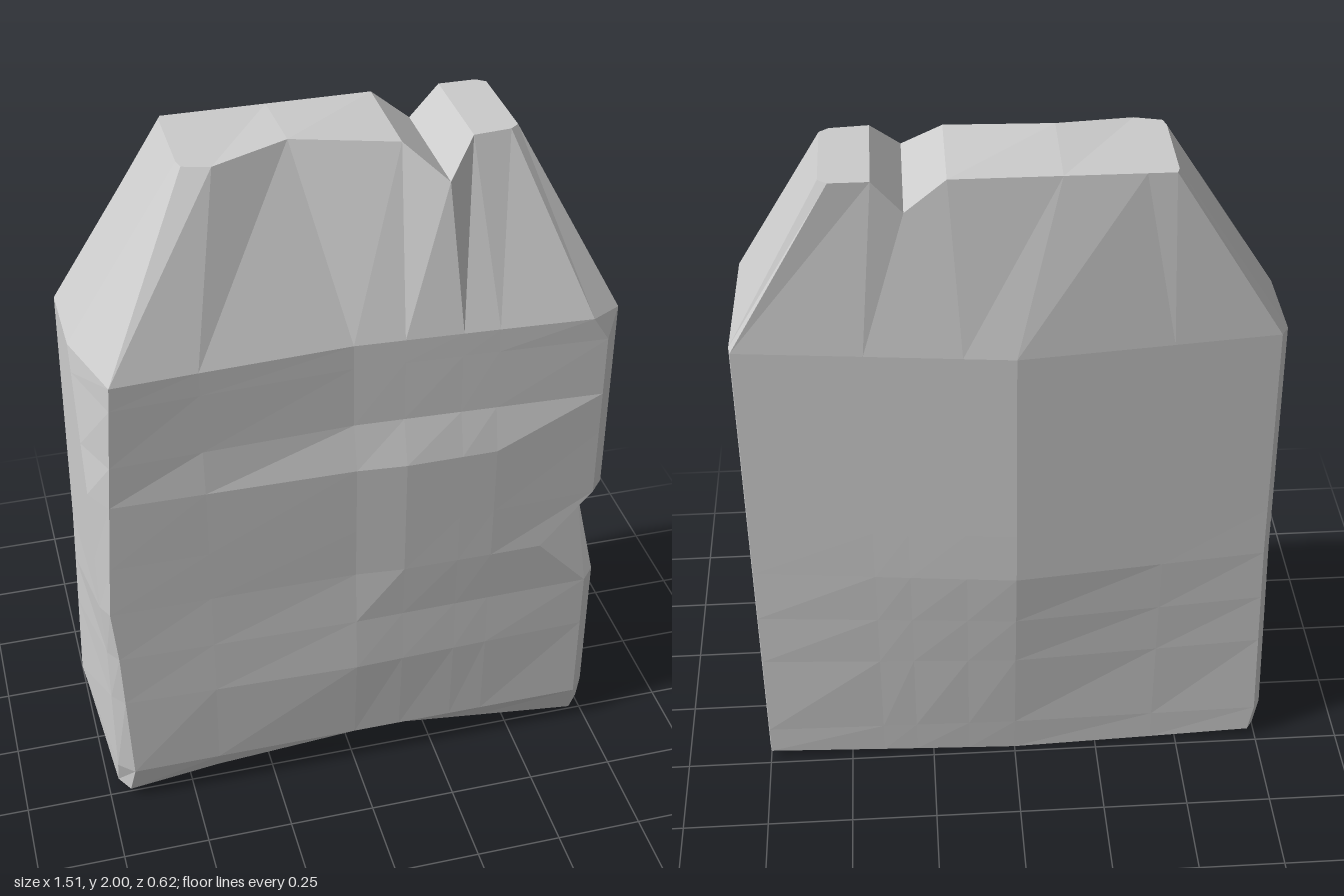
import * as THREE from 'three';

// Heights of the horizontal sections below the crown
const LEVELS = [0.03, 0.12, 0.4, 0.57, 0.74, 0.9, 1.11, 1.24, 1.42, 1.49];
const CROWN_Y = 1.98;
const CHIP_Y = 0.74;
const MID_X = [-0.42, 0, 0.14, 0.3, 0.4];

// Piecewise linear curve through [height, value] pairs
function profile(...points) {
  return (y) => {
    let i = 1;
    while (i < points.length - 1 && y > points[i][0]) i++;
    const [y0, v0] = points[i - 1], [y1, v1] = points[i];
    return THREE.MathUtils.clamp((y - y0) / (y1 - y0), 0, 1) * (v1 - v0) + v0;
  };
}

const rimZ = profile([0.03, 0.27], [0.12, 0.29], [1.49, 0.275]);
const centreZ = profile([0.03, 0.25], [0.12, 0.29], [0.4, 0.308], [0.74, 0.285], [1.11, 0.285], [1.24, 0.25], [1.49, 0.24]);
const leftSideZ = profile([0.03, 0.22], [0.12, 0.25], [0.74, 0.24], [1.11, 0.2], [1.49, 0.04]);
const leftBevel = profile([0.03, 0.03], [0.12, 0.045], [0.74, 0.022], [1.49, 0.072]);
const leftBackX = profile([0.03, -0.745], [0.12, -0.76], [0.74, -0.74], [1.49, -0.73]);
const ridgeZ = profile([0, -0.23], [0.75, -0.31], [1.49, -0.31], [CROWN_Y, -0.23]);

const point = (x, y, z) => new THREE.Vector3(x, y, z);

// Back column, bulging toward the ridge in the middle
function backPoint(x, y) {
  return point(x, y, THREE.MathUtils.lerp(ridgeZ(y), -0.23, Math.min(1, Math.abs(x) / 0.74)));
}

// One body section: nine points along the front, nine returning along the back
function bodyRing(y) {
  const isBase = y === LEVELS[0];
  const chipped = y === CHIP_Y;
  const rim = rimZ(y);
  const leftX = y < CHIP_Y ? -0.72 : -0.728;
  const lip = y > 0.6 && y < 1.2 ? 0.013 : 0;

  // The front face is hollowed in the middle and its lower edge arches up
  const middle = MID_X.map((x) => point(
    x,
    isBase ? y + 0.07 * (1 - Math.abs(x) / 0.7) : y,
    THREE.MathUtils.lerp(centreZ(y), rim, Math.abs(x) / 0.7) + (x > 0 ? lip : 0),
  ));
  const front = [
    point(leftX, y, leftSideZ(y)),
    point(leftX + leftBevel(y), y, rim),
    ...middle,
    point(chipped ? 0.55 : y > 1.45 ? 0.66 : 0.705, y, chipped ? 0.295 : rim),
    point(0.745, y, chipped ? 0.085 : rim - 0.045),
  ];

  const left = leftBackX(y);
  const backY = (x) => (isBase ? 0.03 * Math.abs(x) / 0.74 : y);
  const back = [
    point(left, y, -0.2),
    ...[left + 0.02, ...MID_X, 0.747].map((x) => backPoint(x, backY(x))),
    point(0.752, y, -0.2),
  ];
  return [...front, ...back.reverse()];
}

// Crown section, with a notch cut through from front to back
function crownRing() {
  const xs = [-0.412, -0.405, -0.33, -0.12, 0.17, 0.28, 0.36, 0.465, 0.49];
  const zs = [0.03, 0.06, 0.08, 0.02, 0.07, 0.148, 0.08, 0.07, 0.05];
  const notch = (x) => (x === 0.28 ? -0.09 : 0);
  const front = xs.map((x, k) => point(x, CROWN_Y + notch(x) + (x === -0.12 ? 0.02 : 0), zs[k]));
  const back = xs.map((x, k) => point(x, CROWN_Y + notch(x), k % 8 === 0 ? -0.21 : -0.23));
  return [...front, ...back.reverse()];
}

export function createModel() {
  const group = new THREE.Group();
  group.name = 'stoneSlab';

  const rings = [...LEVELS.map(bodyRing), crownRing()];
  const n = rings[0].length;
  const corners = [];
  const quad = (a, b, c, d) => corners.push(a, b, c, a, c, d);

  // Walls between neighbouring sections
  for (let i = 0; i < rings.length - 1; i++) {
    for (let j = 0; j < n; j++) {
      const k = (j + 1) % n;
      quad(rings[i][j], rings[i][k], rings[i + 1][k], rings[i + 1][j]);
    }
  }

  // Crown and underside, as strips from front to back
  const base = rings[0], top = rings[rings.length - 1];
  for (let k = 0; k < n / 2 - 1; k++) {
    quad(top[k], top[k + 1], top[n - 2 - k], top[n - 1 - k]);
    quad(base[k + 1], base[k], base[n - 1 - k], base[n - 2 - k]);
  }

  const geometry = new THREE.BufferGeometry().setFromPoints(corners);
  geometry.computeVertexNormals();
  const material = new THREE.MeshStandardMaterial({ color: 0xcccccc, flatShading: true });
  const slab = new THREE.Mesh(geometry, material);
  slab.name = 'chippedStone';
  group.add(slab);
  return group;
}
